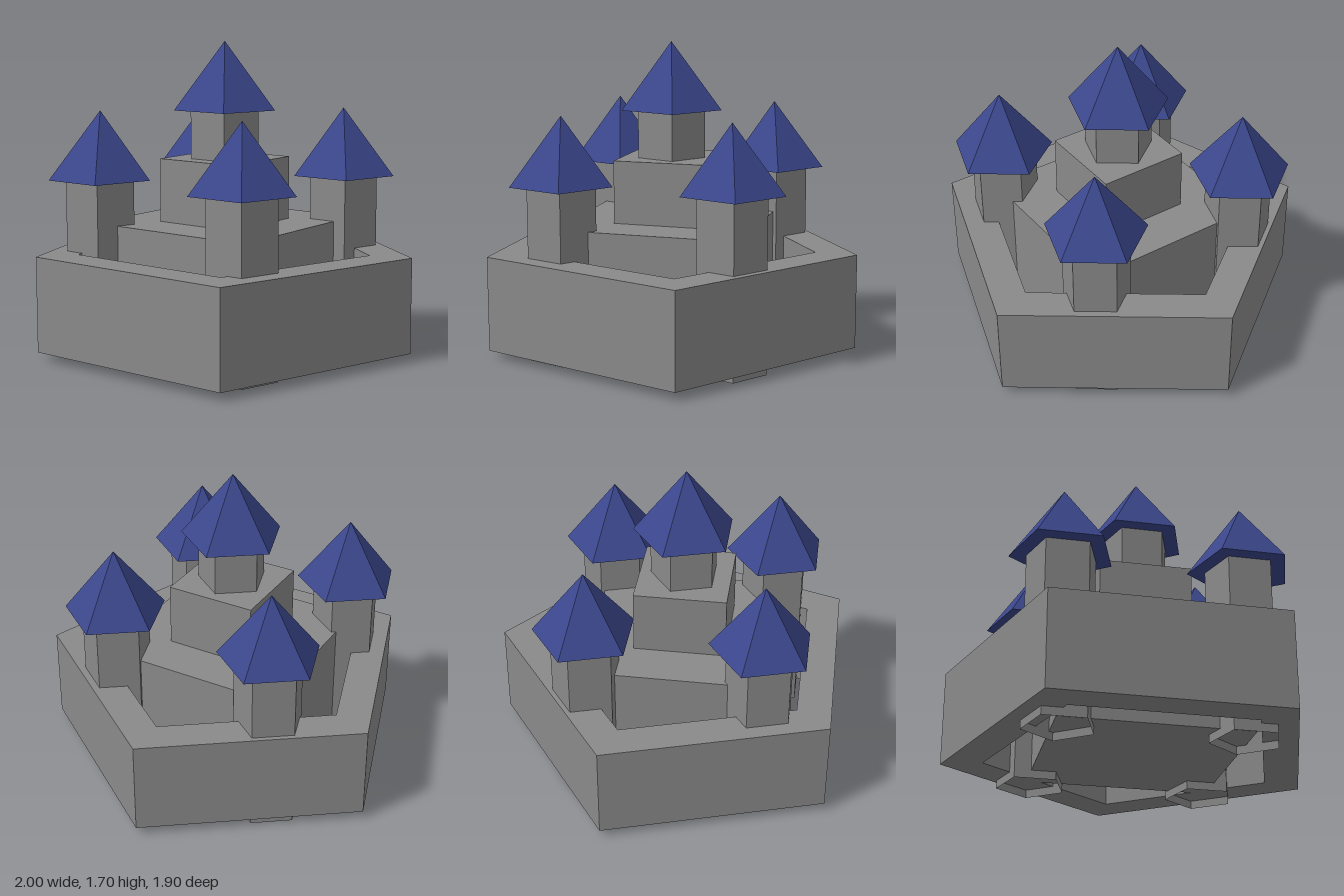
import * as THREE from 'three';

const CENTRE_Z = 0.1;

// Five corners with one pointing to the back (-z once laid flat)
function pentagon(radius) {
  return Array.from({ length: 5 }, (_, i) => {
    const a = Math.PI / 2 + (i * Math.PI * 2) / 5;
    return new THREE.Vector2(radius * Math.cos(a), radius * Math.sin(a));
  });
}

// Hollow upright pentagonal prism standing on y = 0
function pentagonRing(outer, inner, height) {
  const shape = new THREE.Shape(pentagon(outer));
  shape.holes.push(new THREE.Path(pentagon(inner).reverse()));
  const geometry = new THREE.ExtrudeGeometry(shape, { depth: height, bevelEnabled: false });
  return geometry.rotateX(-Math.PI / 2);
}

export function createModel() {
  const model = new THREE.Group();
  model.name = 'castle';
  const stone = new THREE.MeshStandardMaterial({ color: 0x8a8a8a, flatShading: true });
  const thinStone = new THREE.MeshStandardMaterial({
    color: 0x8a8a8a, flatShading: true, side: THREE.DoubleSide,
  });
  const roofBlue = new THREE.MeshStandardMaterial({ color: 0x3b478c, flatShading: true });

  function add(parent, name, geometry, material, x, y, z) {
    const mesh = new THREE.Mesh(geometry, material);
    mesh.name = name;
    mesh.position.set(x, y, z);
    parent.add(mesh);
  }

  // Open five-sided tube with a closed pointed roof
  function addTower(name, x, base, top, z) {
    const tower = new THREE.Group();
    tower.name = name;
    tower.position.set(x, base, z);
    const height = top - base;
    const roofHeight = 0.37;
    const wall = new THREE.CylinderGeometry(0.193, 0.193, height, 5, 1, true).rotateY(Math.PI);
    const roof = new THREE.ConeGeometry(0.287, roofHeight, 5).rotateY(Math.PI);
    add(tower, 'towerWall', wall, thinStone, 0, height / 2, 0);
    add(tower, 'towerRoof', roof, roofBlue, 0, height + roofHeight / 2, 0);
    model.add(tower);
  }

  // Outer wall
  add(model, 'curtainWall', pentagonRing(1.05, 0.82, 0.522), stone, 0, 0.045, CENTRE_Z);

  // Stepped keep
  add(model, 'keepBase', new THREE.BoxGeometry(1.02, 0.67, 1.02), stone, 0, 0.38, CENTRE_Z);
  add(model, 'keepUpper', new THREE.BoxGeometry(0.505, 0.347, 0.505), stone, 0, 0.8885, CENTRE_Z);

  // Towers
  addTower('keepTower', 0, 1.062, 1.328, CENTRE_Z);
  for (const [side, x] of [['Right', -0.488], ['Left', 0.467]]) {
    addTower('front' + side + 'Tower', x, 0, 0.958, 0.57);
    addTower('back' + side + 'Tower', x, 0, 0.958, -0.37);
  }
  return model;
}
